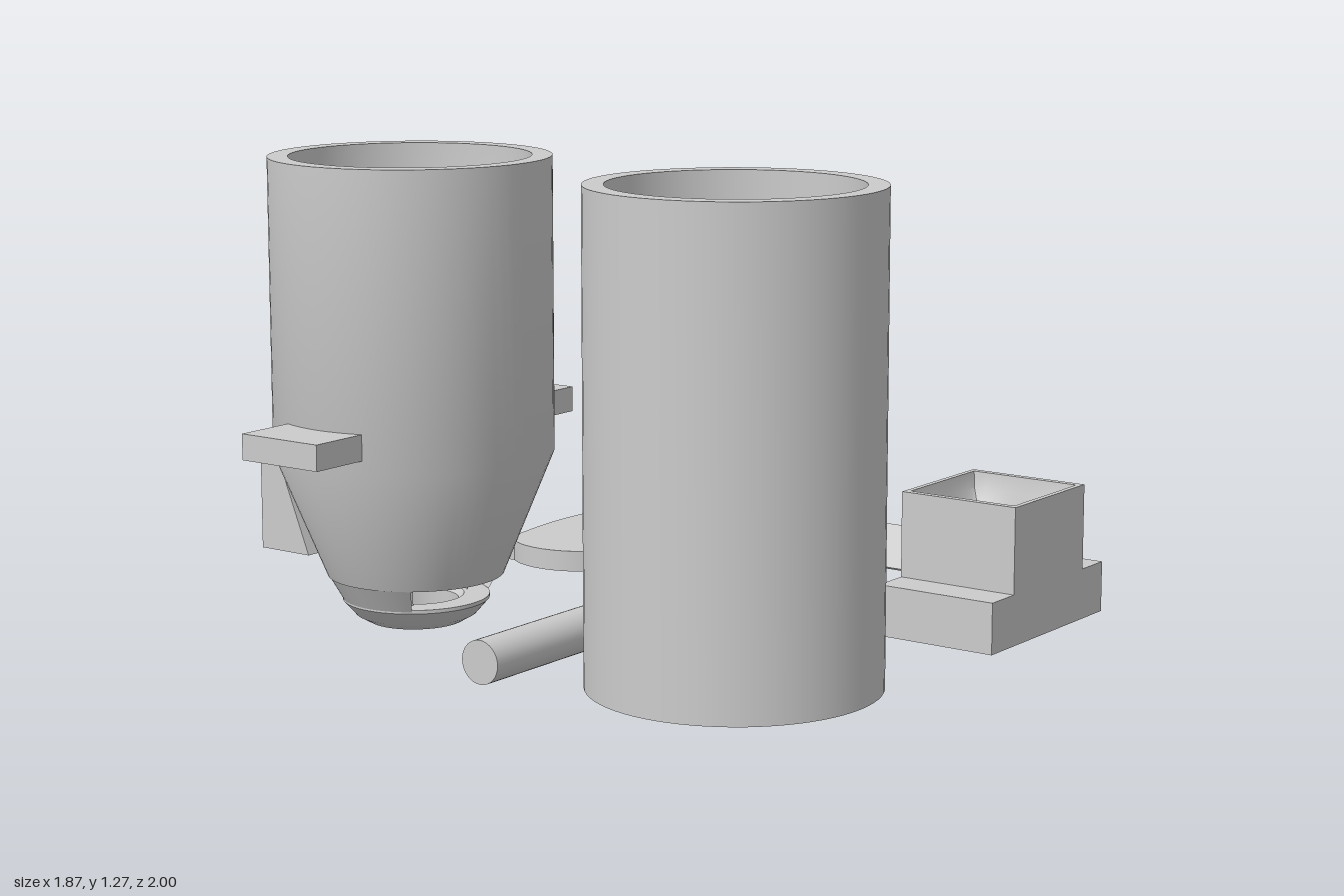
import * as THREE from 'three';
import { toCreasedNormals } from 'three/addons/utils/BufferGeometryUtils.js';

const material = new THREE.MeshStandardMaterial({ color: 0xcccccc, side: THREE.DoubleSide });

export function createModel() {
  const model = new THREE.Group();

  function add(name, geometry, x = 0, y = 0, z = 0, parent = model) {
    const mesh = new THREE.Mesh(toCreasedNormals(geometry, 0.6), material);
    mesh.name = name;
    mesh.position.set(x, y, z);
    parent.add(mesh);
    return mesh;
  }
  // Closed ring profile: outer points upwards, inner points downwards
  function ring(points, start = 0, sweep = Math.PI * 2, segments = 72) {
    const profile = [...points, points[0]].map(([r, y]) => new THREE.Vector2(r, y));
    return new THREE.LatheGeometry(profile, segments, start, sweep);
  }
  // Plan shape (x, -z) raised along y
  function raise(shape, height) {
    return new THREE.ExtrudeGeometry(shape, { depth: height, bevelEnabled: false, curveSegments: 32 })
      .rotateX(-Math.PI / 2);
  }
  function circleHole(x, y, r) {
    return new THREE.Path().absarc(x, y, r, 0, Math.PI * 2, true);
  }
  function rectangle(hx, hy, Type = THREE.Shape) {
    return new Type([[-hx, -hy], [hx, -hy], [hx, hy], [-hx, hy]].map(p => new THREE.Vector2(...p)));
  }

  // Open outer tube
  add('tube', ring([[0.38, 0], [0.38, 1.27], [0.325, 1.27], [0.325, 0]]), 0.55, 0, 0.525);

  // Hopper with tapering bottom, slot and nozzle
  const hopper = new THREE.Group();
  hopper.name = 'hopper';
  hopper.position.set(-0.55, 0, 0.47);
  model.add(hopper);
  add('hopperBody', ring([[0.24, 0.13], [0.38, 0.47], [0.38, 1.27], [0.325, 1.27], [0.325, 0.49], [0.165, 0.13]]),
    0, 0, 0, hopper);
  add('nozzle', ring([[0.13, 0], [0.165, 0.02], [0.2, 0.06], [0.2, 0.07], [0.13, 0.07], [0.115, 0.055], [0.115, 0]]),
    0, 0, 0, hopper);
  for (const side of [1, -1]) {
    // Walls joining the nozzle to the body, front and back of the slot
    const middle = side > 0 ? 0 : Math.PI;
    add('slotWall', ring([[0.2, 0.065], [0.24, 0.135], [0.165, 0.135], [0.14, 0.065]], middle - 0.65, 1.3, 20),
      0, 0, 0, hopper);
    add('hopperTab', new THREE.BoxGeometry(0.26, 0.07, 0.18), 0, 0.545, side * 0.44, hopper);
  }

  // Side bracket following the taper
  const bracket = new THREE.Shape([[-0.94, 0.18], [-0.77, 0.18], [-0.88, 0.45], [-0.94, 0.45]]
    .map(p => new THREE.Vector2(...p)));
  add('sideBracket', new THREE.ExtrudeGeometry(bracket, { depth: 0.25, bevelEnabled: false }), 0, 0, 0.41);

  // Flat swinging gate with pivot hole
  const gate = new THREE.Shape();
  gate.moveTo(-0.585, 0.91);
  gate.lineTo(-0.43, 0.45);
  gate.absarc(-0.645, 0.4, 0.215, 0.2, -2.2, true);
  gate.lineTo(-0.80, 0.225);
  gate.quadraticCurveTo(-0.845, 0.45, -0.835, 0.58);
  gate.lineTo(-0.82, 0.9);
  gate.absarc(-0.70, 0.88, 0.12, Math.PI - 0.1, 0.2, true);
  gate.holes.push(circleHole(-0.70, 0.88, 0.032));
  add('gate', raise(gate, 0.06));

  // Stirring rod with two oppositely pitched blades
  add('rod', new THREE.CylinderGeometry(0.058, 0.058, 1.77, 32).rotateX(Math.PI / 2), 0.03, 0.058, 0.015);
  for (const side of [1, -1]) {
    const blade = add('blade', new THREE.BoxGeometry(0.47, 0.132, 0.016), 0.03 + side * 0.235, 0.06, -0.81);
    blade.rotation.x = -side * 0.54;
  }

  // Holder block: wide foot, square upper part and round socket
  const holder = new THREE.Group();
  holder.name = 'holder';
  holder.position.set(0.75, 0, -0.405);
  model.add(holder);
  const foot = rectangle(0.175, 0.295);
  foot.holes.push(circleHole(0, 0, 0.012));
  add('holderFoot', raise(foot, 0.14), 0, 0, 0, holder);
  const walls = rectangle(0.175, 0.185);
  walls.holes.push(rectangle(0.16, 0.165, THREE.Path));
  add('holderWalls', raise(walls, 0.235), 0, 0.14, 0, holder);

  // Socket lofted from a square mouth to a round bore and floor
  const count = 48;
  const loops = [[0, 0.375, 1], [0, 0.33, 0.97], [0.55, 0.28, 0.95], [1, 0.23, 1], [1, 0.145, 1], [1, 0.145, 0.085]];
  const positions = [], index = [];
  loops.forEach(([round, y, scale], k) => {
    for (let i = 0; i < count; i++) {
      const a = (i / count) * Math.PI * 2, c = Math.cos(a), s = Math.sin(a);
      const m = Math.max(Math.abs(c), Math.abs(s));
      const x = THREE.MathUtils.lerp(0.16 * c / m, 0.14 * c, round) * scale;
      const z = THREE.MathUtils.lerp(0.165 * s / m, 0.14 * s, round) * scale;
      positions.push(x, y, z);
      if (k < loops.length - 1) {
        const p = k * count + i, q = k * count + (i + 1) % count;
        index.push(p, q, p + count, q, q + count, p + count);
      }
    }
  });
  const socket = new THREE.BufferGeometry();
  socket.setAttribute('position', new THREE.Float32BufferAttribute(positions, 3));
  socket.setIndex(index);
  socket.computeVertexNormals();
  add('holderSocket', socket, 0, 0, 0, holder);

  return model;
}
